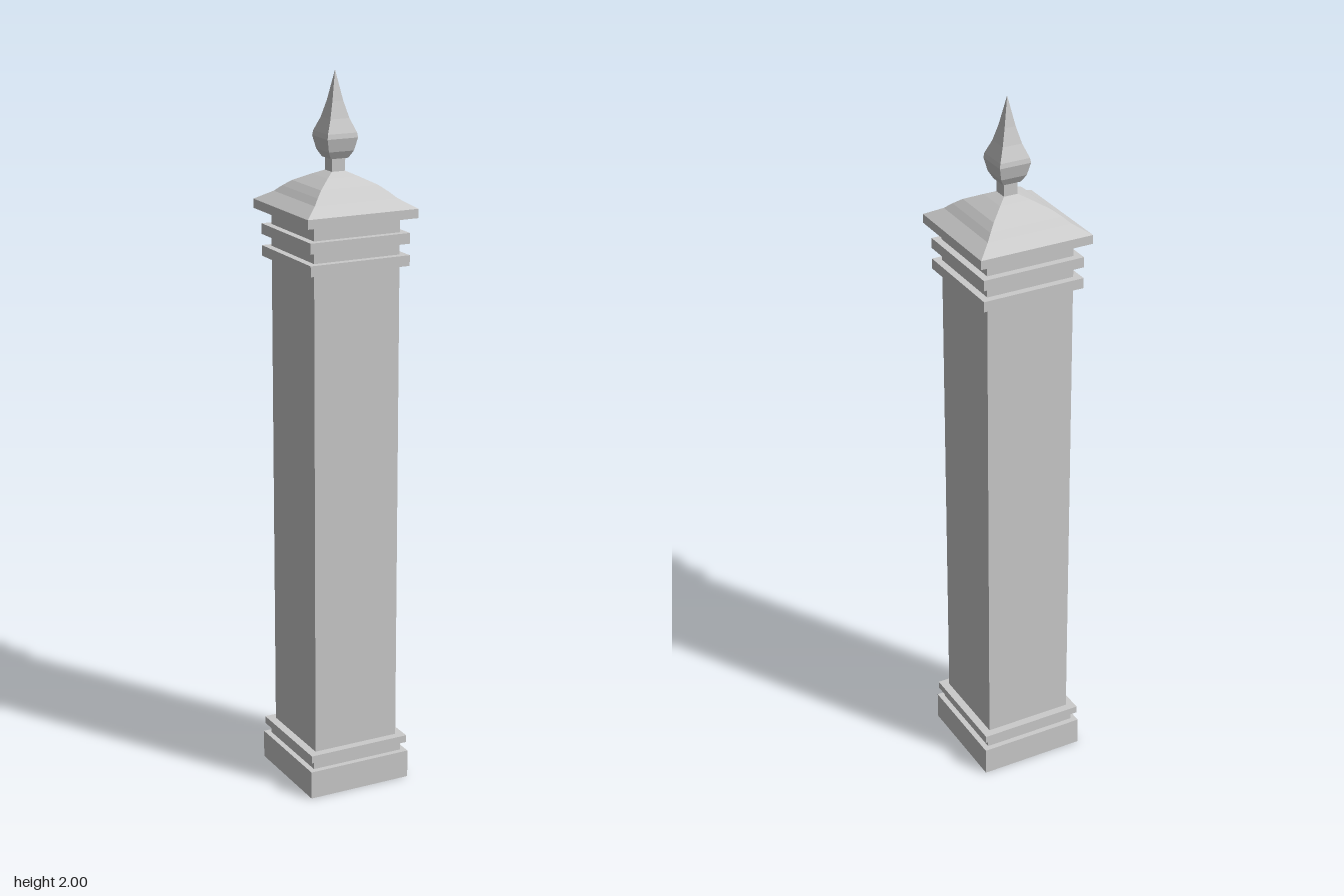
import * as THREE from 'three';

const material = new THREE.MeshStandardMaterial({ color: 0xcccccc, flatShading: true });

export function createModel() {
  const post = new THREE.Group();
  post.name = 'gatePost';

  const add = (name, geometry) => {
    const mesh = new THREE.Mesh(geometry, material);
    mesh.name = name;
    post.add(mesh);
    return mesh;
  };

  // Square slab given by half width, bottom and top
  const slab = (name, half, y0, y1) => {
    add(name, new THREE.BoxGeometry(half * 2, y1 - y0, half * 2)).position.y = (y0 + y1) / 2;
  };

  // Square-plan turned shape from [half width, height] points, bottom to top
  const squareTurned = (name, profile) => {
    const points = profile.map(([half, y]) => new THREE.Vector2(half * Math.SQRT2, y));
    add(name, new THREE.LatheGeometry(points, 4, Math.PI / 4).toNonIndexed());
  };

  // Foot mouldings
  slab('plinth', 0.153, 0, 0.08);
  slab('plinthNeck', 0.137, 0.08, 0.106);
  slab('plinthTrim', 0.15, 0.106, 0.127);

  // Shaft
  slab('shaft', 0.127, 0.127, 1.62);

  // Bands below the cap
  for (const y of [1.49, 1.55]) slab('collarBand', 0.147, y, y + 0.029);

  // Cap with a swept roof
  slab('capPlate', 0.163, 1.62, 1.645);
  squareTurned('capRoof', [
    [0, 1.645], [0.163, 1.645], [0.122, 1.67], [0.105, 1.686],
    [0.085, 1.702], [0.045, 1.723], [0.02, 1.735], [0, 1.735],
  ]);

  // Spear finial on a short stem
  slab('finialStem', 0.02, 1.73, 1.775);
  squareTurned('finial', [
    [0, 1.77], [0.026, 1.77], [0.037, 1.79], [0.045, 1.825], [0.043, 1.838],
    [0.028, 1.875], [0.016, 1.92], [0.008, 1.96], [0, 2],
  ]);

  return post;
}
